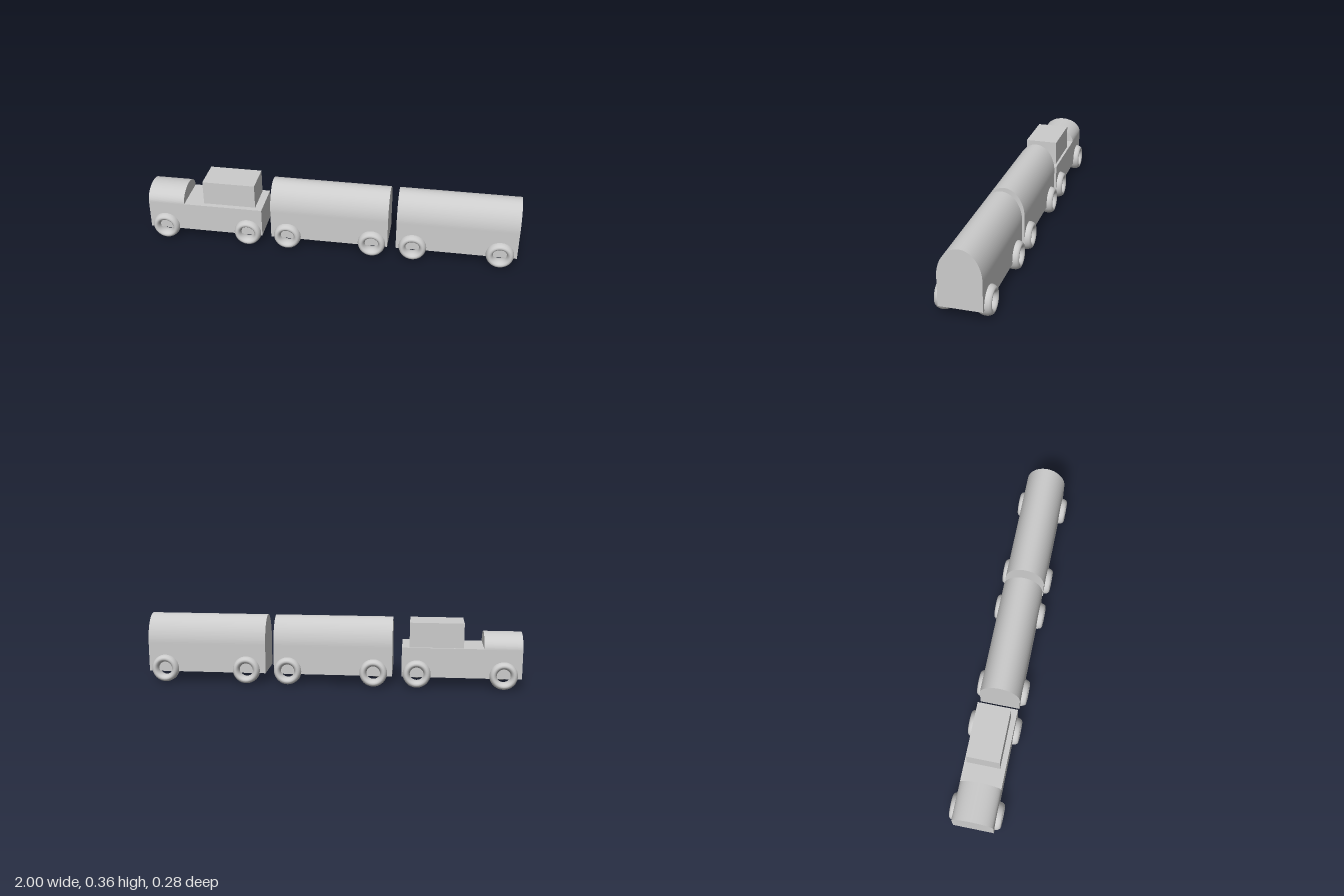
import * as THREE from 'three';

const material = new THREE.MeshStandardMaterial({ color: 0xcccccc });
const HALF_WIDTH = 0.108;
const FLOOR = 0.06;

function add(parent, name, geometry) {
  const mesh = new THREE.Mesh(geometry, material);
  mesh.name = name;
  parent.add(mesh);
  return mesh;
}

// Box given by its limits on each axis
function block(parent, name, x0, x1, y0, y1, z0, z1) {
  const mesh = add(parent, name, new THREE.BoxGeometry(x1 - x0, y1 - y0, z1 - z0));
  mesh.position.set((x0 + x1) / 2, (y0 + y1) / 2, (z0 + z1) / 2);
}

// Straight walls under a half-elliptical roof, extruded along x
function archedBody(parent, name, x0, x1, spring, top) {
  const shape = new THREE.Shape();
  shape.moveTo(-HALF_WIDTH, FLOOR);
  shape.lineTo(HALF_WIDTH, FLOOR);
  shape.lineTo(HALF_WIDTH, spring);
  shape.absellipse(0, spring, HALF_WIDTH, top - spring, 0, Math.PI, false, 0);
  shape.closePath();
  const geometry = new THREE.ExtrudeGeometry(shape, {
    depth: x1 - x0, bevelEnabled: false, curveSegments: 32,
  });
  geometry.rotateY(Math.PI / 2);
  add(parent, name, geometry).position.x = x0;
}

// Open ring wheels, widened along the axle
const wheelGeometry = new THREE.TorusGeometry(0.055, 0.0195, 16, 32);
wheelGeometry.scale(1, 1, 1.8);

function wheels(parent, leftToRight, z) {
  for (const x of leftToRight) {
    add(parent, 'wheel', wheelGeometry).position.set(x, 0.077, z);
  }
}

export function createModel() {
  const train = new THREE.Group();
  train.name = 'toyTrain';

  // Engine: low chassis, rounded nose and a slightly offset cabin block
  const engine = new THREE.Group();
  engine.name = 'engine';
  block(engine, 'chassis', -0.8, -0.37, FLOOR, 0.218, -HALF_WIDTH, HALF_WIDTH);
  archedBody(engine, 'nose', -1, -0.8, 0.215, 0.293);
  block(engine, 'cabin', -0.695, -0.41, 0.218, 0.35, -0.095, 0.08);
  wheels(engine, [-0.91, -0.45], 0.103);
  wheels(engine, [-0.905, -0.45], -0.103);

  // Middle wagon
  const middle = new THREE.Group();
  middle.name = 'middleWagon';
  archedBody(middle, 'wagonBody', -0.32, 0.315, 0.215, 0.363);
  wheels(middle, [-0.23, 0.23], 0.103);
  wheels(middle, [-0.22, 0.24], -0.103);

  // End wagon
  const end = new THREE.Group();
  end.name = 'endWagon';
  archedBody(end, 'wagonBody', 0.36, 1, 0.215, 0.363);
  wheels(end, [0.45, 0.91], 0.103);
  wheels(end, [0.465, 0.91], -0.103);

  train.add(engine, middle, end);
  return train;
}
